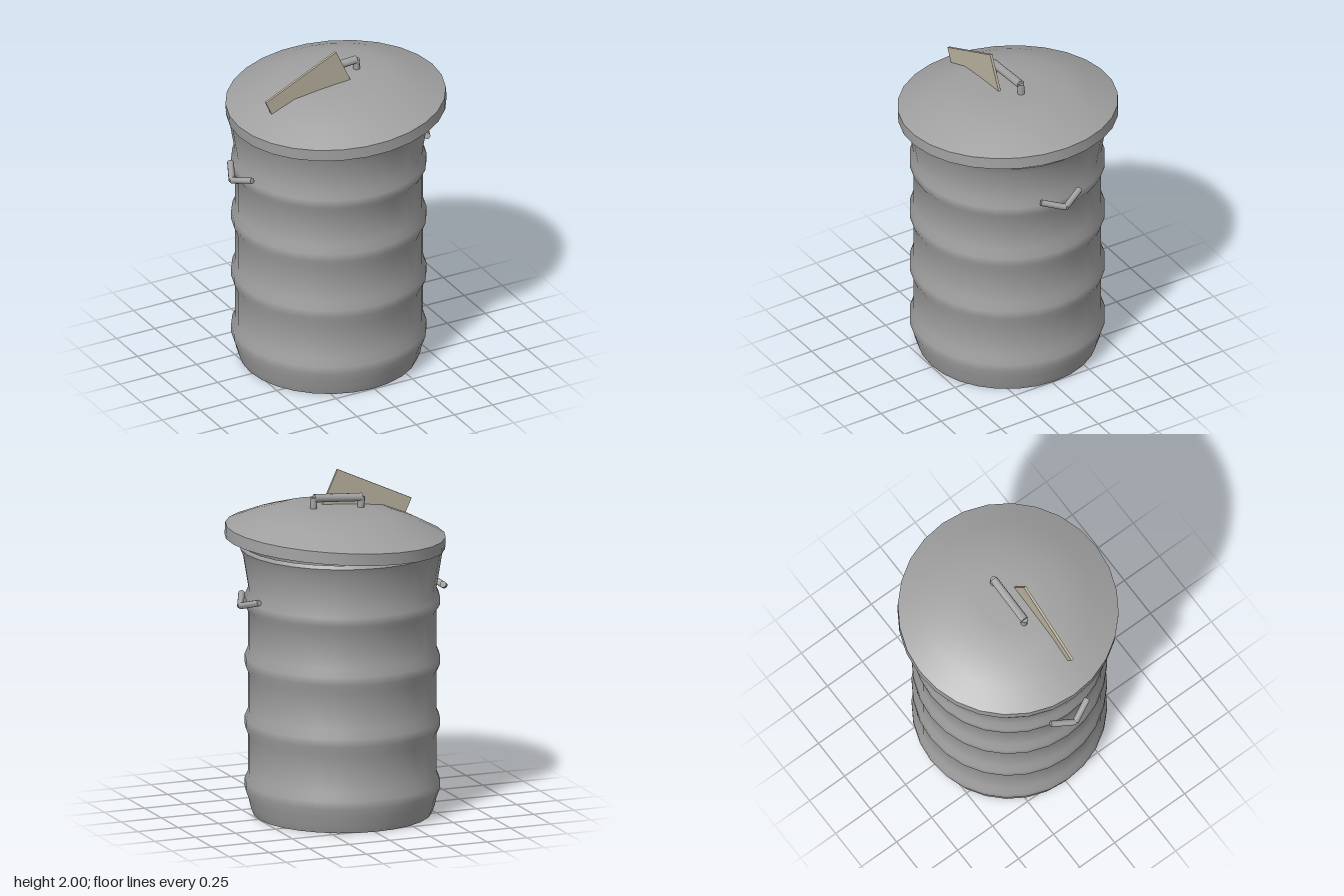
import * as THREE from 'three';
import { toCreasedNormals } from 'three/addons/utils/BufferGeometryUtils.js';

const metal = new THREE.MeshStandardMaterial({ color: 0xa0a0a0 });
metal.name = 'galvanised grey';
const board = new THREE.MeshStandardMaterial({ color: 0xb9b19e });
board.name = 'pale cardboard';

function mesh(name, geometry, material = metal) {
  const m = new THREE.Mesh(geometry, material);
  m.name = name;
  return m;
}

// Revolved profile of [radius, height] pairs with sharp edges kept
function turned(name, profile) {
  const points = profile.map(([r, y]) => new THREE.Vector2(r, y));
  return mesh(name, toCreasedNormals(new THREE.LatheGeometry(points, 28), 0.7));
}

// Round bar between two points
function rod(name, a, b, radius) {
  const from = new THREE.Vector3(...a), to = new THREE.Vector3(...b);
  const dir = to.clone().sub(from);
  const geo = new THREE.CylinderGeometry(radius, radius, dir.length(), 10);
  const m = mesh(name, toCreasedNormals(geo, 0.8));
  m.position.copy(from).add(to).multiplyScalar(0.5);
  m.quaternion.setFromUnitVectors(new THREE.Vector3(0, 1, 0), dir.normalize());
  return m;
}

export function createModel() {
  const model = new THREE.Group();
  model.name = 'trashCan';

  // Ribbed body, flared at the top and hollow inside
  const can = new THREE.Group();
  can.name = 'can';
  can.position.set(-0.013, 0, -0.018);
  const profile = [[0, 0], [0.513, 0], [0.532, 0.05], [0.54, 0.09]];
  for (const y of [0.172, 0.54, 0.905, 1.255]) {
    profile.push([0.561, y - 0.024], [0.561, y + 0.024], [0.54, y + 0.072]);
    if (y < 1.2) profile.push([0.54, y + 0.292]);
  }
  profile.push([0.573, 1.53], [0.592, 1.575], [0.582, 1.597],
    [0.56, 1.58], [0.525, 1.33], [0.525, 0.1], [0.49, 0.03], [0, 0.03]);
  can.add(turned('body', profile));

  // Angled side handles
  for (const s of [1, -1]) {
    const handle = new THREE.Group();
    handle.name = s > 0 ? 'leftHandle' : 'rightHandle';
    for (const t of [1, -1]) {
      handle.add(rod('handleBar', [s * 0.572, 1.318, t * 0.13], [s * 0.634, 1.277, 0], 0.019));
    }
    can.add(handle);
  }
  model.add(can);

  // Tilted lid with its grip
  const lid = new THREE.Group();
  lid.name = 'lid';
  lid.position.set(0.0265, 1.597, 0);
  lid.rotation.z = 0.068;
  lid.add(turned('lidShell', [[0, 0], [0.634, 0], [0.634, 0.07],
    [0.49, 0.135], [0.325, 0.19], [0.16, 0.199], [0, 0.202]]));
  lid.add(rod('gripBar', [-0.148, 0.258, -0.003], [0.148, 0.258, -0.003], 0.024));
  for (const s of [1, -1]) {
    lid.add(rod('gripPost', [s * 0.148, 0.17, -0.003], [s * 0.148, 0.262, -0.003], 0.02));
  }
  model.add(lid);

  // Flat board stuck through the lid
  const card = mesh('boardScrap', new THREE.BoxGeometry(0.507, 0.26, 0.015).translate(0, -0.13, 0), board);
  card.position.set(-0.254, 1.894, 0.084);
  card.rotation.z = 0.432;
  model.add(card);

  return model;
}
